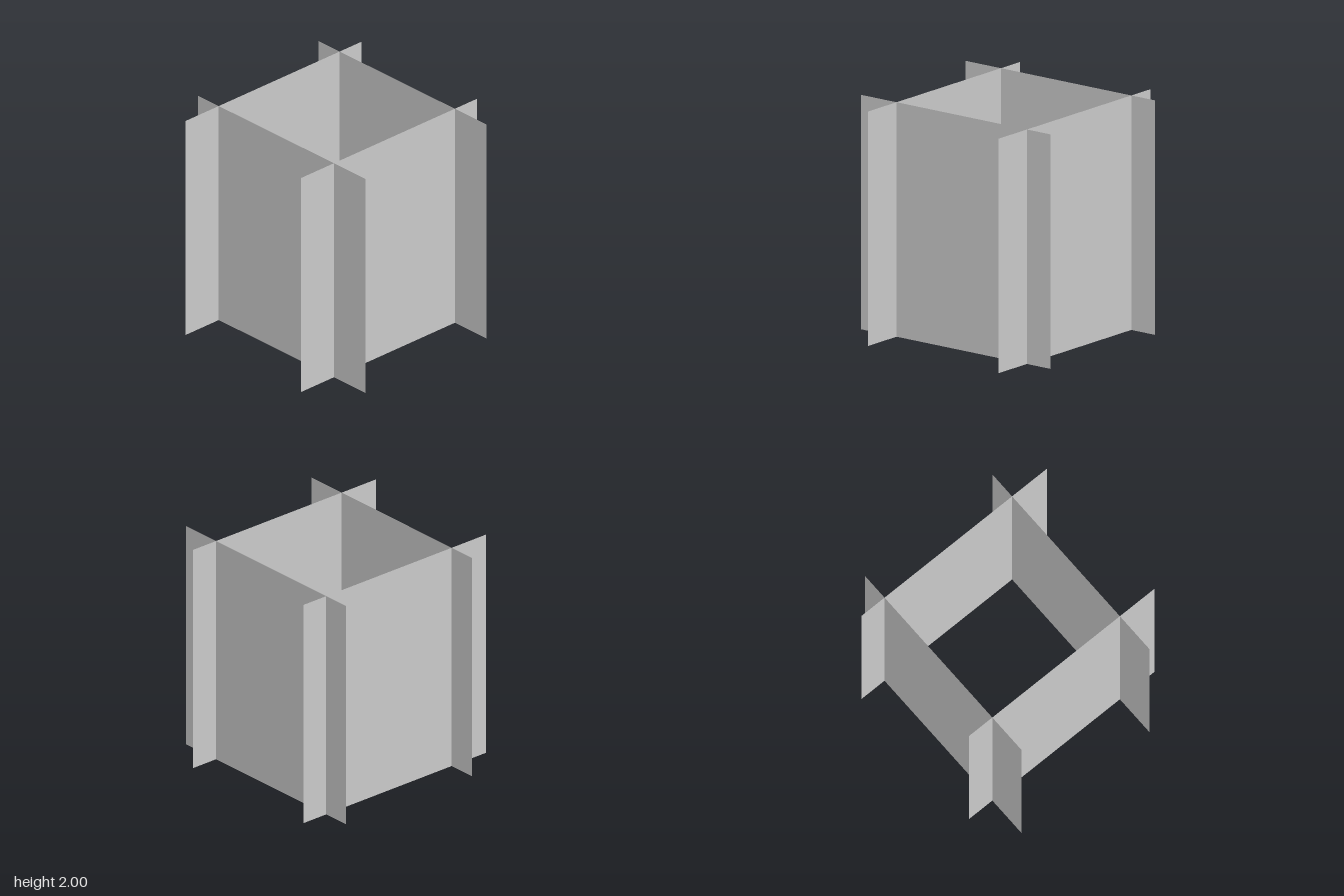
import * as THREE from 'three';

const SIZE = 2;
const OFFSETS = [-0.75, 0.625]; // off-centre positions of each parallel pair

export function createModel() {
  const group = new THREE.Group();
  group.name = 'crossedPanels';
  const material = new THREE.MeshStandardMaterial({
    color: 0xcccccc, flatShading: true, side: THREE.DoubleSide,
  });

  // One upright square sheet with no thickness
  const addPanel = (name, x, z, turn) => {
    const panel = new THREE.Mesh(new THREE.PlaneGeometry(SIZE, SIZE), material);
    panel.name = name;
    panel.position.set(x, SIZE / 2, z);
    panel.rotation.y = turn;
    group.add(panel);
  };

  // Two sheets across the depth and two across the width, crossing near the corners
  OFFSETS.forEach((d, i) => {
    addPanel(i ? 'frontPanel' : 'backPanel', 0, d, i ? 0 : Math.PI);
    addPanel(i ? 'leftPanel' : 'rightPanel', d, 0, i ? Math.PI / 2 : -Math.PI / 2);
  });

  return group;
}
